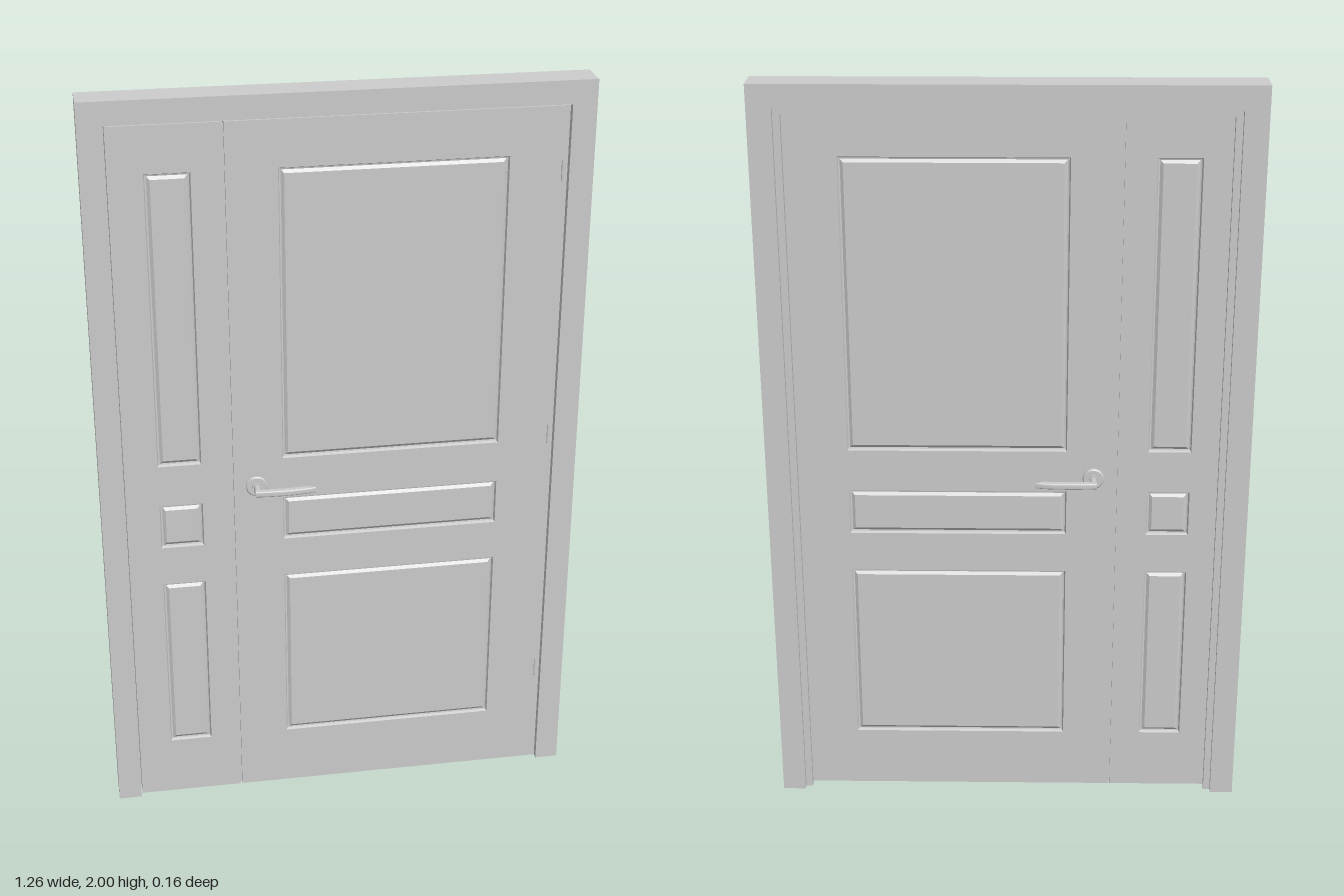
import * as THREE from 'three';

const material = new THREE.MeshStandardMaterial({ color: 0xcccccc, flatShading: true });
const smooth = new THREE.MeshStandardMaterial({ color: 0xcccccc });
const FRONT = 0.026, BACK = -0.022;

function add(parent, name, geometry, mat = material) {
  const mesh = new THREE.Mesh(geometry, mat);
  mesh.name = name;
  parent.add(mesh);
  return mesh;
}

function rectangle(Type, x0, x1, y0, y1) {
  const p = new Type();
  p.moveTo(x0, y0);
  p.lineTo(x1, y0);
  p.lineTo(x1, y1);
  p.lineTo(x0, y1);
  p.closePath();
  return p;
}

// Upside-down U around the opening, extruded from z0 to z1
function portal(halfOuter, topOuter, halfInner, topInner, z0, z1) {
  const points = [[-halfOuter, 0], [-halfInner, 0], [-halfInner, topInner], [halfInner, topInner],
    [halfInner, 0], [halfOuter, 0], [halfOuter, topOuter], [-halfOuter, topOuter]];
  const shape = new THREE.Shape(points.map(([x, y]) => new THREE.Vector2(x, y)));
  return new THREE.ExtrudeGeometry(shape, { depth: z1 - z0, bevelEnabled: false }).translate(0, 0, z0);
}

// Sunken moulding and raised field: rectangular loops given as [inset, depth], closed by a flat face
function panelGeometry(width, height) {
  const rings = [[0, 0], [0.003, -0.007], [0.007, -0.008], [0.015, -0.002]];
  const corner = ([inset, z], i) => [
    (i === 1 || i === 2 ? 1 : -1) * (width / 2 - inset),
    (i >= 2 ? 1 : -1) * (height / 2 - inset), z];
  const v = [];
  const quad = (a, b, c, d) => v.push(...a, ...b, ...c, ...a, ...c, ...d);
  for (let r = 0; r < rings.length - 1; r++) {
    for (let i = 0; i < 4; i++) {
      const j = (i + 1) % 4;
      quad(corner(rings[r], i), corner(rings[r], j), corner(rings[r + 1], j), corner(rings[r + 1], i));
    }
  }
  const last = rings[rings.length - 1];
  quad(...[0, 1, 2, 3].map(i => corner(last, i)));
  const geometry = new THREE.BufferGeometry();
  geometry.setAttribute('position', new THREE.Float32BufferAttribute(v, 3));
  geometry.computeVertexNormals();
  return geometry;
}

// Door leaf with three moulded panels on both faces
function createLeaf(name, x0, x1, panelX0, panelX1) {
  const leaf = new THREE.Group();
  leaf.name = name;
  const shape = rectangle(THREE.Shape, x0, x1, 0.006, 1.936);
  const rows = [[0.175, 0.68], [0.79, 0.915], [1.03, 1.815]];
  for (const [y0, y1] of rows) {
    shape.holes.push(rectangle(THREE.Path, panelX0, panelX1, y0, y1));
    for (const side of [1, -1]) {
      const panel = add(leaf, side > 0 ? 'frontPanel' : 'backPanel', panelGeometry(panelX1 - panelX0, y1 - y0));
      panel.position.set((panelX0 + panelX1) / 2, (y0 + y1) / 2, side > 0 ? FRONT : BACK);
      if (side < 0) panel.rotation.y = Math.PI;
    }
  }
  add(leaf, 'leafBody', new THREE.ExtrudeGeometry(shape, { depth: FRONT - BACK, bevelEnabled: false })
    .translate(0, 0, BACK));
  return leaf;
}

// Lever handle facing +z, centred on its spindle
function createHandle(name) {
  const handle = new THREE.Group();
  handle.name = name;
  const rose = [[0, 0.015], [0.028, 0.015], [0.028, 0.029], [0.025, 0.032], [0.012, 0.032], [0.012, 0.036], [0, 0.036]];
  add(handle, 'rose', new THREE.LatheGeometry(rose.map(([r, h]) => new THREE.Vector2(r, h)), 28)
    .rotateX(Math.PI / 2), material);
  add(handle, 'stem', new THREE.CylinderGeometry(0.008, 0.008, 0.05, 20)
    .rotateX(Math.PI / 2).translate(0, 0, 0.047), smooth);

  // Plan outline of the bowed lever with a slanted tip (shape y becomes z)
  const outline = new THREE.Shape();
  outline.moveTo(-0.006, 0.066);
  outline.lineTo(0.02, 0.066);
  outline.quadraticCurveTo(0.08, 0.068, 0.132, 0.064);
  outline.lineTo(0.148, 0.073);
  outline.quadraticCurveTo(0.07, 0.084, -0.006, 0.075);
  outline.closePath();
  const lever = new THREE.ExtrudeGeometry(outline, {
    depth: 0.006, bevelThickness: 0.005, bevelSize: 0.003, bevelSegments: 4, curveSegments: 12,
  });
  lever.translate(0, 0, -0.003).rotateX(Math.PI / 2);
  add(handle, 'lever', lever);
  return handle;
}

export function createModel() {
  const door = new THREE.Group();
  door.name = 'door';

  // Frame and the stop behind the leaves
  add(door, 'frame', portal(0.632, 2, 0.57, 1.94, -0.053, 0.034));
  add(door, 'doorStop', portal(0.57, 1.94, 0.552, 1.922, -0.038, BACK));

  // Narrow fixed leaf, wide opening leaf and the strip closing the gap between them
  door.add(createLeaf('sideLeaf', -0.567, -0.288, -0.48, -0.367));
  door.add(createLeaf('mainLeaf', -0.284, 0.567, -0.155, 0.42));
  add(door, 'meetingStrip', new THREE.BoxGeometry(0.006, 1.92, 0.03)).position.set(-0.286, 0.966, 0.002);

  // Handles on both faces
  for (const side of [1, -1]) {
    const handle = createHandle(side > 0 ? 'frontHandle' : 'backHandle');
    handle.position.set(-0.225, 0.955, 0);
    if (side < 0) handle.rotation.x = Math.PI;
    door.add(handle);
  }

  // Hinge knuckles
  for (const y of [0.31, 1.045, 1.77]) {
    add(door, 'hinge', new THREE.CylinderGeometry(0.003, 0.003, 0.055, 12), smooth).position.set(0.555, y, FRONT);
  }
  return door;
}
